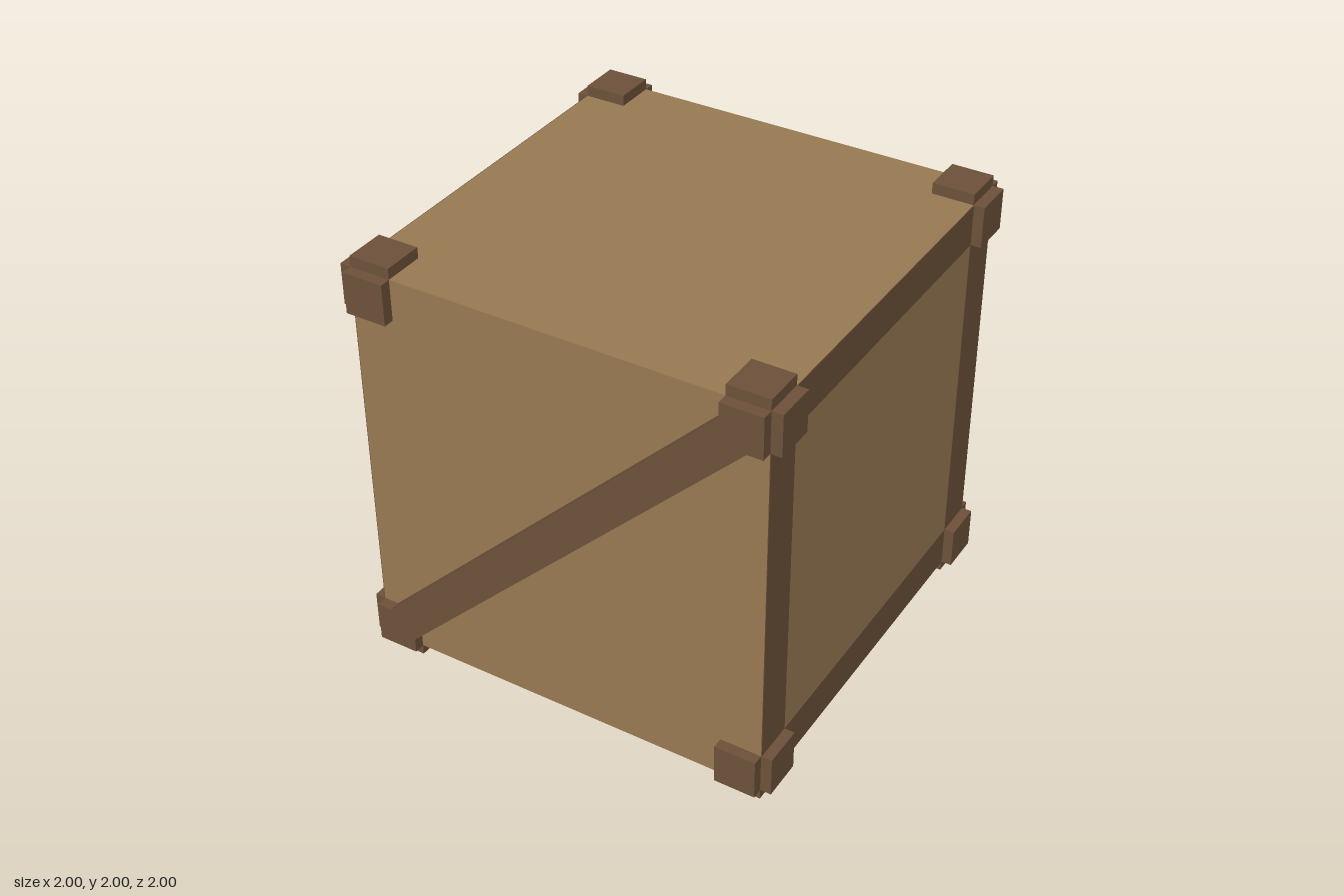
import * as THREE from 'three';

const H = 0.95;      // half size of the crate body
const T = 0.05;      // thickness of brackets and braces
const B = 0.19;      // width of brackets and frame
const I = H - B;     // inner edge of brackets and frame

export function createModel() {
  const crate = new THREE.Group();
  crate.name = 'crate';
  const panelWood = new THREE.MeshStandardMaterial({ color: 0x987a52 });
  panelWood.name = 'panel wood';
  const frameWood = new THREE.MeshStandardMaterial({ color: 0x6d513a });
  frameWood.name = 'frame wood';

  const add = (name, geometry, material, parent = crate) => {
    const mesh = new THREE.Mesh(geometry, material);
    mesh.name = name;
    parent.add(mesh);
    return mesh;
  };
  const polygon = (points) => new THREE.Shape(points.map(([x, y]) => new THREE.Vector2(x, y)));
  const square = (h) => [[-h, -h], [h, -h], [h, h], [-h, h]];
  const extrude = (shape, depth) => new THREE.ExtrudeGeometry(shape, { depth, bevelEnabled: false });

  // Solid body
  add('body', new THREE.BoxGeometry(2 * H, 2 * H, 2 * H), panelWood);

  // Nearly flush frame boards around the left and right sides
  const ring = polygon(square(H));
  ring.holes.push(polygon(square(I)));
  const ringGeometry = extrude(ring, 0.003).rotateY(Math.PI / 2);
  add('leftFrame', ringGeometry, frameWood).position.x = H;
  add('rightFrame', ringGeometry, frameWood).position.x = -H - 0.003;

  // Corner brackets: one raised plate on each of the three faces
  const size = B, mid = H - B / 2, out = H + T / 2;
  for (const x of [-1, 1]) for (const y of [-1, 1]) for (const z of [-1, 1]) {
    const bracket = new THREE.Group();
    bracket.name = 'cornerBracket';
    crate.add(bracket);
    ['sidePlate', 'capPlate', 'facePlate'].forEach((name, axis) => {
      const s = [size, size, size], p = [mid, mid, mid];
      s[axis] = T;
      p[axis] = out;
      add(name, new THREE.BoxGeometry(...s), frameWood, bracket)
        .position.set(x * p[0], y * p[1], z * p[2]);
    });
  }

  // Diagonal braces, cut to fit against the bracket plates
  const w = 0.12;
  const brace = extrude(polygon([
    [-I, -I], [-I, -I - w], [I + w, I], [I, I], [I, I + w], [-I - w, -I],
  ]), T);
  add('frontBrace', brace, frameWood).position.z = H;
  add('backBrace', brace, frameWood).position.z = -H - T;

  // Stand the crate on the ground
  crate.children.forEach((part) => { part.position.y += H + T; });
  return crate;
}
